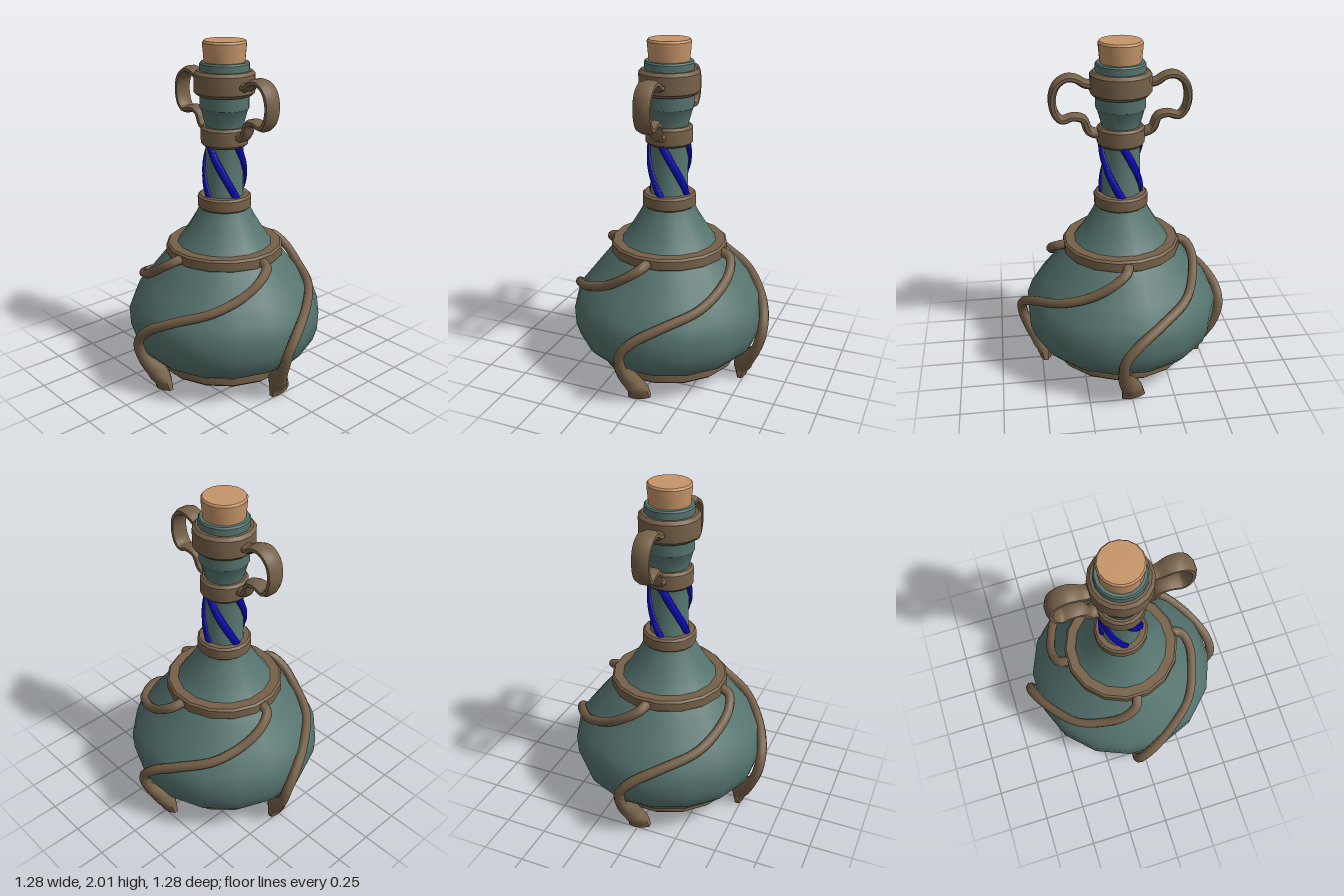
import * as THREE from 'three';
import { toCreasedNormals } from 'three/addons/utils/BufferGeometryUtils.js';

const mat = (name, color) => {
  const m = new THREE.MeshStandardMaterial({ color });
  m.name = name;
  return m;
};

// Surface of revolution with flats facing front, back and sides
function lathe(profile, segments = 16, crease = 0.6) {
  const pts = profile.map(([r, y]) => new THREE.Vector2(r, y));
  return toCreasedNormals(new THREE.LatheGeometry(pts, segments, Math.PI / segments), crease);
}

// Chamfered hoop between two radii
function hoop(inner, outer, y0, y1, bevel) {
  return lathe([
    [inner, y0], [outer - bevel, y0], [outer, y0 + bevel],
    [outer, y1 - bevel], [outer - bevel, y1], [inner, y1], [inner, y0],
  ]);
}

// Sweeps an oval along rows of { p, w, t }; w and t are the half width and
// half thickness, and the thickness points along ref(p)
function sweep(rows, ref, steps = 40, sides = 8) {
  const curve = new THREE.CatmullRomCurve3(rows.map((r) => r.p));
  const pos = [], index = [];
  for (let i = 0; i <= steps; i++) {
    const u = i / steps;
    const p = curve.getPoint(u);
    const T = curve.getTangent(u);
    const N = ref(p).addScaledVector(T, -ref(p).dot(T)).normalize();
    const B = new THREE.Vector3().crossVectors(T, N);
    const f = u * (rows.length - 1);
    const k = Math.min(Math.floor(f), rows.length - 2);
    const w = THREE.MathUtils.lerp(rows[k].w, rows[k + 1].w, f - k);
    const t = THREE.MathUtils.lerp(rows[k].t, rows[k + 1].t, f - k);
    for (let j = 0; j < sides; j++) {
      const a = ((j + 0.5) / sides) * Math.PI * 2;
      const q = p.clone().addScaledVector(N, Math.cos(a) * t * 1.06).addScaledVector(B, Math.sin(a) * w * 1.06);
      pos.push(q.x, q.y, q.z);
    }
  }
  const first = pos.length / 3;
  pos.push(...curve.getPoint(0).toArray(), ...curve.getPoint(1).toArray());
  for (let j = 0; j < sides; j++) {
    const n = (j + 1) % sides;
    for (let i = 0; i < steps; i++) {
      const a = i * sides + j, b = i * sides + n;
      index.push(a, b, a + sides, b, b + sides, a + sides);
    }
    index.push(first, n, j, first + 1, steps * sides + j, steps * sides + n);
  }
  const g = new THREE.BufferGeometry();
  g.setAttribute('position', new THREE.Float32BufferAttribute(pos, 3));
  g.setIndex(index);
  return toCreasedNormals(g, 0.95);
}

const polar = (deg, r, y) => {
  const a = THREE.MathUtils.degToRad(deg);
  return new THREE.Vector3(Math.sin(a) * r, y, Math.cos(a) * r);
};

export function createModel() {
  const model = new THREE.Group();
  model.name = 'bottle';
  const glass = mat('teal glass', 0x55736e);
  const bronze = mat('bronze brown', 0x766149);
  const cork = mat('cork', 0xc69569);
  const blue = mat('blue enamel', 0x0a08b4);

  const add = (name, geometry, material, parent = model) => {
    const m = new THREE.Mesh(geometry, material);
    m.name = name;
    parent.add(m);
    return m;
  };

  // Glass body and neck
  add('glassBody', lathe([
    [0, 0.12], [0.43, 0.125], [0.5, 0.165], [0.55, 0.22], [0.575, 0.3], [0.58, 0.41],
    [0.55, 0.49], [0.475, 0.585], [0.385, 0.7], [0.33, 0.77], [0.27, 0.83], [0.22, 0.905],
    [0.175, 0.98], [0.14, 1.05], [0.112, 1.12], [0.11, 1.42], [0.11, 1.52], [0.135, 1.61],
    [0.142, 1.62], [0.142, 1.87], [0.135, 1.88], [0, 1.88],
  ]), glass);

  // Cork stopper
  add('corkStopper', lathe([[0, 1.86], [0.116, 1.87], [0.126, 1.985], [0.118, 1.997], [0, 2]]), cork);

  // Metal hoops: [name, inner, outer, bottom, top, bevel]
  [
    ['baseRing', 0.345, 0.425, 0.06, 0.132, 0.014],
    ['shoulderBand', 0.27, 0.347, 0.745, 0.82, 0.012],
    ['lowerNeckRing', 0.1, 0.158, 1.03, 1.113, 0.012],
    ['middleNeckRing', 0.1, 0.137, 1.405, 1.517, 0.014],
    ['upperNeckRing', 0.13, 0.175, 1.695, 1.832, 0.018],
  ].forEach(([name, ...dims]) => add(name, hoop(...dims), bronze));

  // Curling legs from the shoulder band down to the feet: [turn, r, y, w, t]
  const legRows = [
    [0, 0.31, 0.785, 0.032, 0.026],
    [3, 0.385, 0.765, 0.028, 0.026],
    [14, 0.428, 0.71, 0.026, 0.026],
    [30, 0.455, 0.635, 0.026, 0.026],
    [50, 0.505, 0.57, 0.026, 0.026],
    [73, 0.55, 0.5, 0.027, 0.026],
    [88, 0.597, 0.42, 0.028, 0.028],
    [95, 0.612, 0.33, 0.028, 0.028],
    [96, 0.58, 0.21, 0.034, 0.03],
    [93, 0.5, 0.1, 0.05, 0.058],
    [90, 0.482, 0.05, 0.062, 0.046],
    [89, 0.48, 0.002, 0.07, 0.03],
  ].map(([turn, r, y, w, t]) => ({ p: polar(-turn, r, y), w, t }));
  const bodyNormal = (p) => {
    const r = Math.hypot(p.x, p.z);
    return new THREE.Vector3(p.x / r, Math.max(0, p.y - 0.4) * 3, p.z / r);
  };
  const legGeometry = sweep(legRows, bodyNormal, 48);

  // Spiral ribs around the neck
  const ribRows = [0, 1, 2, 3, 4, 5].map((i) => ({
    p: polar(-2 + i * 18, 0.112, 1.42 - i * 0.064), w: 0.022, t: 0.018,
  }));
  const ribGeometry = sweep(ribRows, (p) => new THREE.Vector3(p.x, 0, p.z), 16);

  for (let i = 0; i < 4; i++) {
    add('curlingLeg', legGeometry, bronze).rotation.y = (i * Math.PI) / 2;
    add('spiralRib', ribGeometry, blue).rotation.y = (i * Math.PI) / 2;
  }

  // Looped handles, broad across z: [x, y, half width, half thickness]
  const handleRows = [
    [0.14, 1.755, 0.04, 0.026],
    [0.2, 1.763, 0.043, 0.024],
    [0.25, 1.793, 0.05, 0.022],
    [0.305, 1.798, 0.052, 0.022],
    [0.36, 1.757, 0.052, 0.022],
    [0.383, 1.68, 0.05, 0.022],
    [0.366, 1.595, 0.05, 0.022],
    [0.33, 1.56, 0.048, 0.022],
    [0.27, 1.575, 0.046, 0.022],
    [0.212, 1.56, 0.043, 0.024],
    [0.18, 1.49, 0.038, 0.026],
    [0.11, 1.465, 0.034, 0.03],
  ].map(([x, y, broad, thin]) => ({ p: new THREE.Vector3(x, y, 0), w: thin, t: broad }));
  const handleGeometry = sweep(handleRows, () => new THREE.Vector3(0, 0, 1), 44);
  add('leftHandle', handleGeometry, bronze);
  add('rightHandle', handleGeometry, bronze).rotation.y = Math.PI;

  return model;
}
